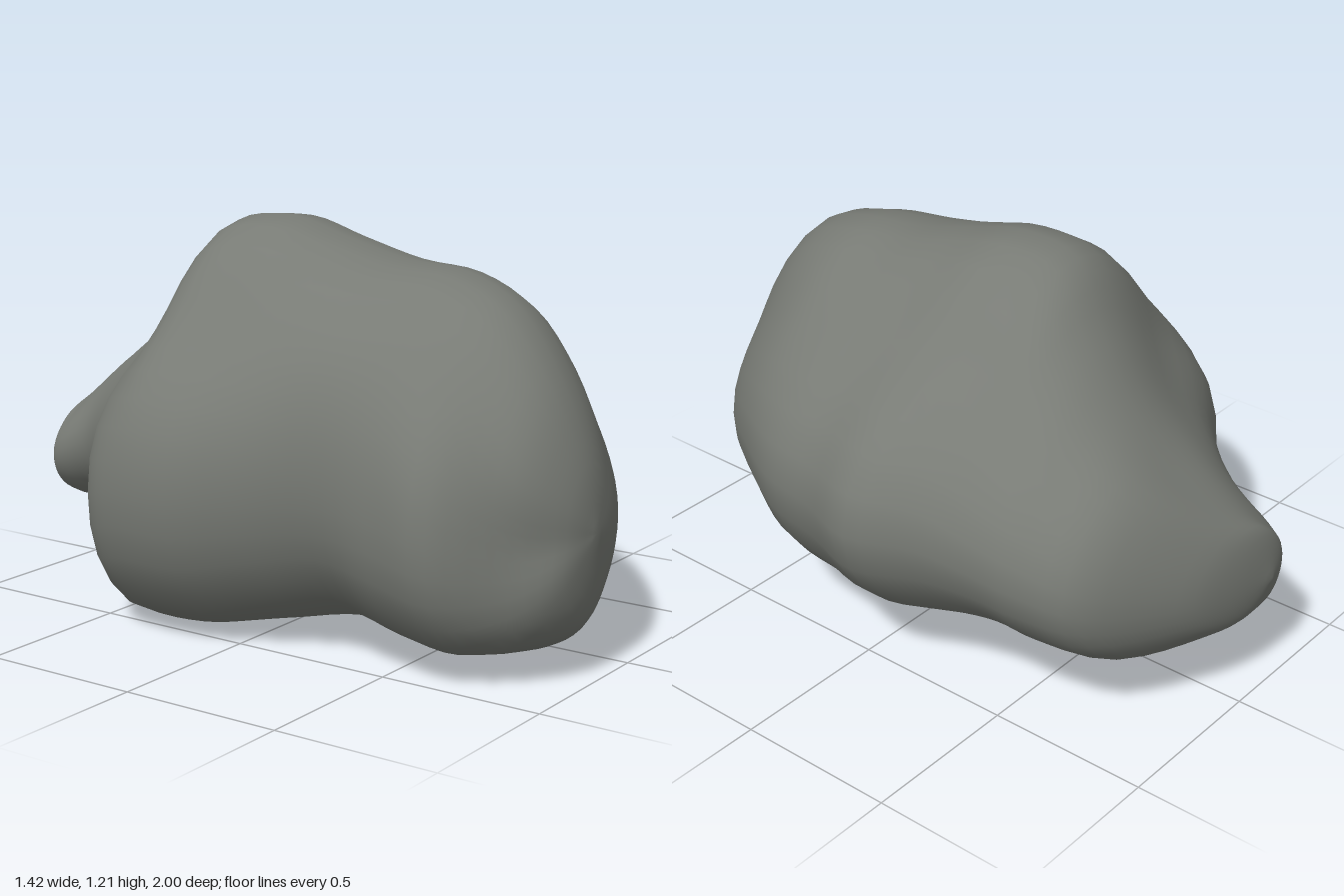
import * as THREE from 'three';
import { mergeVertices } from 'three/addons/utils/BufferGeometryUtils.js';

// Cross-sections from front to back: z, centre x, centre y,
// then radii every 45 degrees starting at +x and turning towards +y.
const SECTIONS = [
  [0.97, -0.2, 0.42, 0.16, 0.16, 0.2, 0.15, 0.12, 0.18, 0.23, 0.18],
  [0.87, -0.18, 0.42, 0.33, 0.32, 0.41, 0.33, 0.26, 0.34, 0.33, 0.32],
  [0.7, -0.12, 0.5, 0.46, 0.41, 0.51, 0.44, 0.48, 0.53, 0.4, 0.43],
  [0.5, -0.08, 0.55, 0.57, 0.48, 0.54, 0.5, 0.51, 0.57, 0.46, 0.51],
  [0.3, -0.09, 0.55, 0.69, 0.54, 0.56, 0.53, 0.5, 0.52, 0.49, 0.59],
  [0.1, -0.1, 0.55, 0.74, 0.57, 0.61, 0.53, 0.55, 0.58, 0.5, 0.61],
  [-0.1, -0.1, 0.55, 0.8, 0.6, 0.66, 0.53, 0.61, 0.65, 0.5, 0.6],
  [-0.3, -0.1, 0.55, 0.73, 0.58, 0.63, 0.51, 0.6, 0.66, 0.52, 0.56],
  [-0.45, -0.02, 0.52, 0.61, 0.52, 0.51, 0.45, 0.61, 0.65, 0.43, 0.46],
  [-0.6, 0.04, 0.5, 0.53, 0.45, 0.38, 0.36, 0.47, 0.51, 0.35, 0.41],
  [-0.78, 0.08, 0.46, 0.41, 0.36, 0.27, 0.29, 0.35, 0.31, 0.27, 0.33],
  [-0.92, -0.02, 0.41, 0.26, 0.22, 0.18, 0.18, 0.23, 0.21, 0.18, 0.21],
  [-0.975, -0.1, 0.38, 0.15, 0.14, 0.13, 0.12, 0.12, 0.12, 0.11, 0.13],
];
const SIDES = 40;
const STEPS = 4;

// Smooth curve through four neighbouring values
function spline(a, b, c, d, t) {
  const m0 = (c - a) / 2, m1 = (d - b) / 2;
  return ((2 * (b - c) + m0 + m1) * t + 3 * (c - b) - 2 * m0 - m1) * t * t + m0 * t + b;
}

function rockGeometry() {
  const tip = (x, y, z) => [z, x, y, ...new Array(8).fill(0)];
  const rows = [tip(-0.2, 0.43, 1), ...SECTIONS, tip(-0.13, 0.37, -1)];
  const row = (i) => rows[Math.min(Math.max(i, 0), rows.length - 1)];
  const rings = (rows.length - 1) * STEPS;
  const positions = [];
  const indices = [];

  for (let i = 0; i <= rings; i++) {
    // Blend the sections lengthwise
    const k = Math.min(Math.floor(i / STEPS), rows.length - 2);
    const t = i / STEPS - k;
    const [z, cx, cy, ...radii] = row(k).map((v, n) =>
      spline(row(k - 1)[n], v, row(k + 1)[n], row(k + 2)[n], t));
    for (let j = 0; j < SIDES; j++) {
      // Blend the radii around the ring
      const u = (j / SIDES) * 8;
      const s = Math.floor(u);
      const r = (n) => radii[(n + 8) % 8];
      const radius = Math.max(0, spline(r(s - 1), r(s), r(s + 1), r(s + 2), u - s));
      const angle = (j / SIDES) * Math.PI * 2;
      positions.push(cx + radius * Math.cos(angle), cy + radius * Math.sin(angle), z);
      if (i < rings) {
        const a = i * SIDES + j;
        const b = i * SIDES + ((j + 1) % SIDES);
        indices.push(a, a + SIDES, b, b, a + SIDES, b + SIDES);
      }
    }
  }
  let geometry = new THREE.BufferGeometry();
  geometry.setAttribute('position', new THREE.Float32BufferAttribute(positions, 3));
  geometry.setIndex(indices);
  geometry = mergeVertices(geometry, 1e-5);
  geometry.computeVertexNormals();
  return geometry;
}

export function createModel() {
  const stone = new THREE.MeshStandardMaterial({ color: 0x787b75 });
  stone.name = 'grey stone';
  const rock = new THREE.Mesh(rockGeometry(), stone);
  rock.name = 'boulder';
  const model = new THREE.Group();
  model.name = 'rock';
  model.add(rock);
  return model;
}
